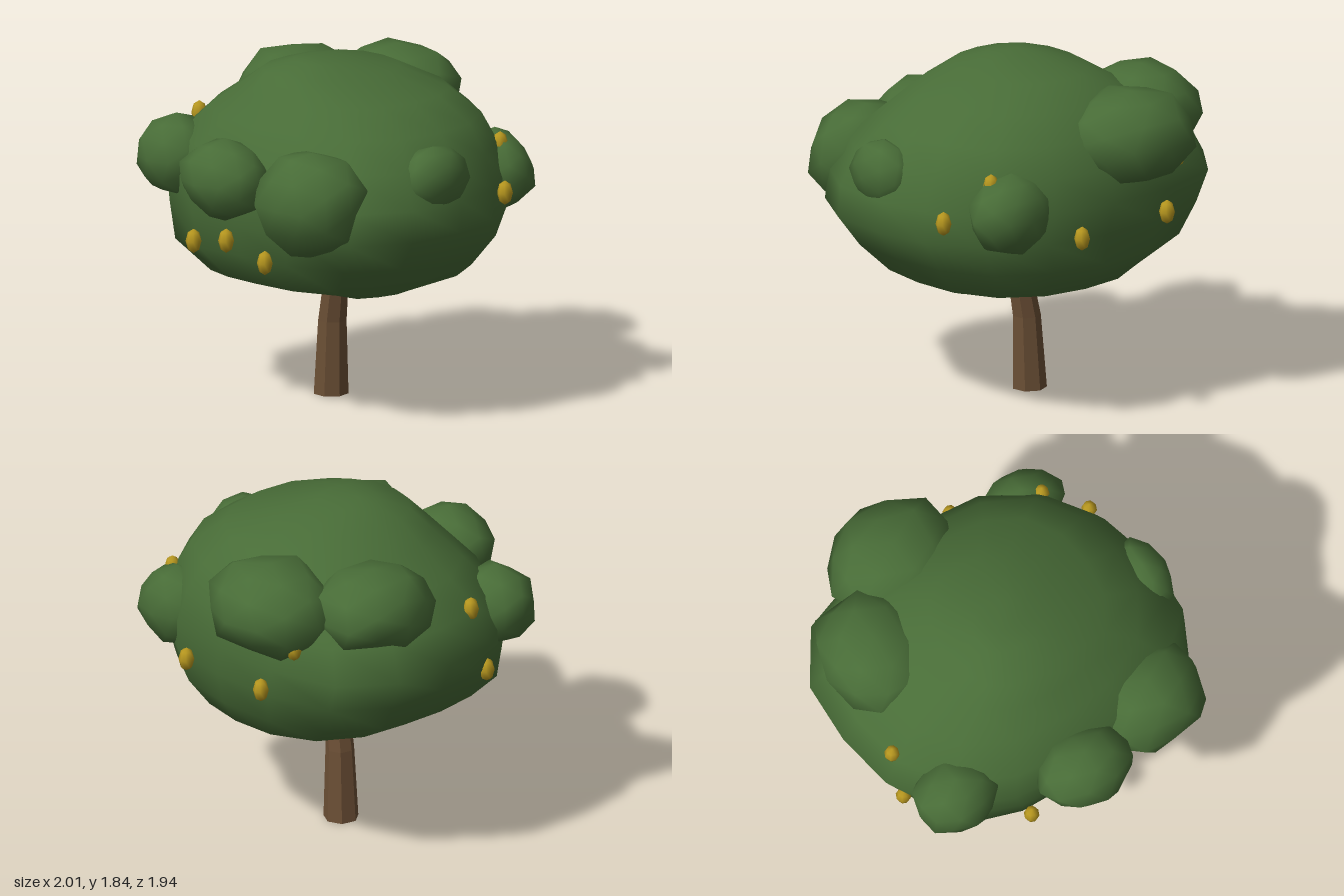
import * as THREE from 'three';
import { mergeVertices } from 'three/addons/utils/BufferGeometryUtils.js';

const leafGreen = new THREE.MeshStandardMaterial({ color: 0x486c37 });
leafGreen.name = 'leafGreen';
const barkBrown = new THREE.MeshStandardMaterial({ color: 0x6b4f35 });
barkBrown.name = 'barkBrown';
const fruitYellow = new THREE.MeshStandardMaterial({ color: 0xb8981f });
fruitYellow.name = 'fruitYellow';

// Closed skin over level rings [y, xMin, xMax, zMin, zMax]; power > 2 squares the ring
function loft(rings, sides, power) {
  const pos = [], index = [];
  rings.forEach(([y, x0, x1, z0, z1]) => {
    for (let j = 0; j < sides; j++) {
      const a = (j / sides) * Math.PI * 2;
      const c = Math.cos(a), s = Math.sin(a);
      const k = 0.5 / Math.pow(Math.abs(c) ** power + Math.abs(s) ** power, 1 / power);
      pos.push((x0 + x1) / 2 + c * k * (x1 - x0), y, (z0 + z1) / 2 + s * k * (z1 - z0));
    }
  });
  for (let i = 0; i < rings.length - 1; i++) {
    for (let j = 0; j < sides; j++) {
      const a = i * sides + j, b = i * sides + ((j + 1) % sides);
      const c = a + sides, d = b + sides;
      if (rings[i + 1][1] !== rings[i + 1][2]) index.push(a, c, d);
      if (rings[i][1] !== rings[i][2]) index.push(a, d, b);
    }
  }
  const geo = new THREE.BufferGeometry();
  geo.setAttribute('position', new THREE.Float32BufferAttribute(pos, 3));
  geo.setIndex(index);
  return geo;
}

// Push the vertices around a point by an offset, fading with distance
function bulge(geo, centre, offset, reach) {
  const p = geo.attributes.position, v = new THREE.Vector3();
  const c = new THREE.Vector3(...centre), o = new THREE.Vector3(...offset);
  for (let i = 0; i < p.count; i++) {
    v.fromBufferAttribute(p, i);
    v.addScaledVector(o, Math.exp(-v.distanceToSquared(c) / (reach * reach)));
    p.setXYZ(i, v.x, v.y, v.z);
  }
}

// Lumpy low-poly ball with smooth normals
function lobeGeometry(radii, seed) {
  let geo = new THREE.IcosahedronGeometry(1, 1);
  geo.deleteAttribute('uv');
  geo.deleteAttribute('normal');
  geo = mergeVertices(geo);
  const p = geo.attributes.position, v = new THREE.Vector3();
  for (let i = 0; i < p.count; i++) {
    v.fromBufferAttribute(p, i);
    const lump = 1.03 + 0.06 * Math.sin(3 * v.x + 4 * v.y + 5 * v.z + seed * 1.7);
    p.setXYZ(i, v.x * lump * radii[0], v.y * lump * radii[1], v.z * lump * radii[2]);
  }
  geo.computeVertexNormals();
  return geo;
}

export function createModel() {
  const tree = new THREE.Group();
  tree.name = 'fruitTree';
  const add = (geo, mat, name, at = [0, 0, 0]) => {
    const mesh = new THREE.Mesh(geo, mat);
    mesh.name = name;
    mesh.position.set(...at);
    tree.add(mesh);
    return mesh;
  };

  // Leaning, tapered, faceted trunk
  const trunkRings = [
    [0, 0.04, -0.07, 0], [0, 0.04, -0.07, 0.094], [0.4, 0.035, -0.055, 0.077],
    [0.78, 0.02, 0.01, 0.062], [0.78, 0.02, 0.01, 0],
  ].map(([y, x, z, r]) => [y, x - r, x + r, z - r, z + r]);
  const trunk = loft(trunkRings, 7, 2).toNonIndexed();
  trunk.computeVertexNormals();
  add(trunk, barkBrown, 'trunk');

  // Main mass of leaves
  const crown = mergeVertices(loft([
    [0.57, -0.03, -0.03, 0.21, 0.21],
    [0.635, -0.27, 0.3, -0.4, 0.47],
    [0.72, -0.6, 0.67, -0.56, 0.67],
    [0.88, -0.69, 0.79, -0.79, 0.82],
    [1.05, -0.73, 0.82, -0.88, 0.94],
    [1.22, -0.74, 0.84, -0.95, 0.94],
    [1.4, -0.7, 0.8, -0.87, 0.87],
    [1.55, -0.57, 0.71, -0.72, 0.75],
    [1.68, -0.46, 0.57, -0.52, 0.56],
    [1.78, -0.36, 0.38, -0.36, 0.28],
    [1.83, -0.19, 0.1, -0.19, 0.11],
    [1.84, -0.07, -0.07, -0.08, -0.08],
  ], 16, 2.35));
  // Uneven corners: low rear right, front right, rear left, and a flatter front left
  bulge(crown, [-0.5, 0.8, -0.55], [-0.06, -0.05, -0.05], 0.3);
  bulge(crown, [-0.48, 1.08, 0.74], [-0.08, 0, 0.08], 0.35);
  bulge(crown, [0.5, 1.15, -0.78], [0.06, 0, -0.06], 0.38);
  bulge(crown, [0.52, 1.22, 0.78], [-0.03, 0, -0.045], 0.3);
  crown.computeVertexNormals();
  add(crown, leafGreen, 'crown');

  // Leaf clumps: centre, radii
  [
    ['rearLeftClump', [0.68, 1.51, -0.24], [0.315, 0.25, 0.36]],
    ['rearClump', [0.3, 1.51, -0.62], [0.34, 0.23, 0.28]],
    ['rearRightClump', [-0.53, 1.28, -0.65], [0.2, 0.21, 0.23]],
    ['rightClump', [-0.78, 1.31, 0], [0.21, 0.21, 0.27]],
    ['frontRightClump', [-0.62, 1.24, 0.5], [0.27, 0.28, 0.31]],
    ['frontClump', [-0.06, 1.33, 0.83], [0.21, 0.18, 0.14]],
    ['frontLeftClump', [0.65, 1.22, 0.54], [0.175, 0.21, 0.24]],
  ].forEach(([name, at, radii], i) => add(lobeGeometry(radii, i), leafGreen, name, at));

  // Small hanging fruit
  const fruit = new THREE.SphereGeometry(1, 8, 4);
  [
    [0.86, 1.08, 0.23], [0.85, 1.11, -0.35], [0.45, 1.18, 0.835], [0.6, 1.385, 0.635],
    [0.75, 1.37, -0.5], [-0.2, 1.42, -0.83], [-0.31, 1.03, -0.83],
    [-0.73, 0.91, -0.3], [-0.82, 0.99, 0.05], [-0.7, 0.88, 0.22],
  ].forEach((at, i) => add(fruit, fruitYellow, 'fruit' + (i + 1), at).scale.set(0.042, 0.066, 0.042));

  return tree;
}
